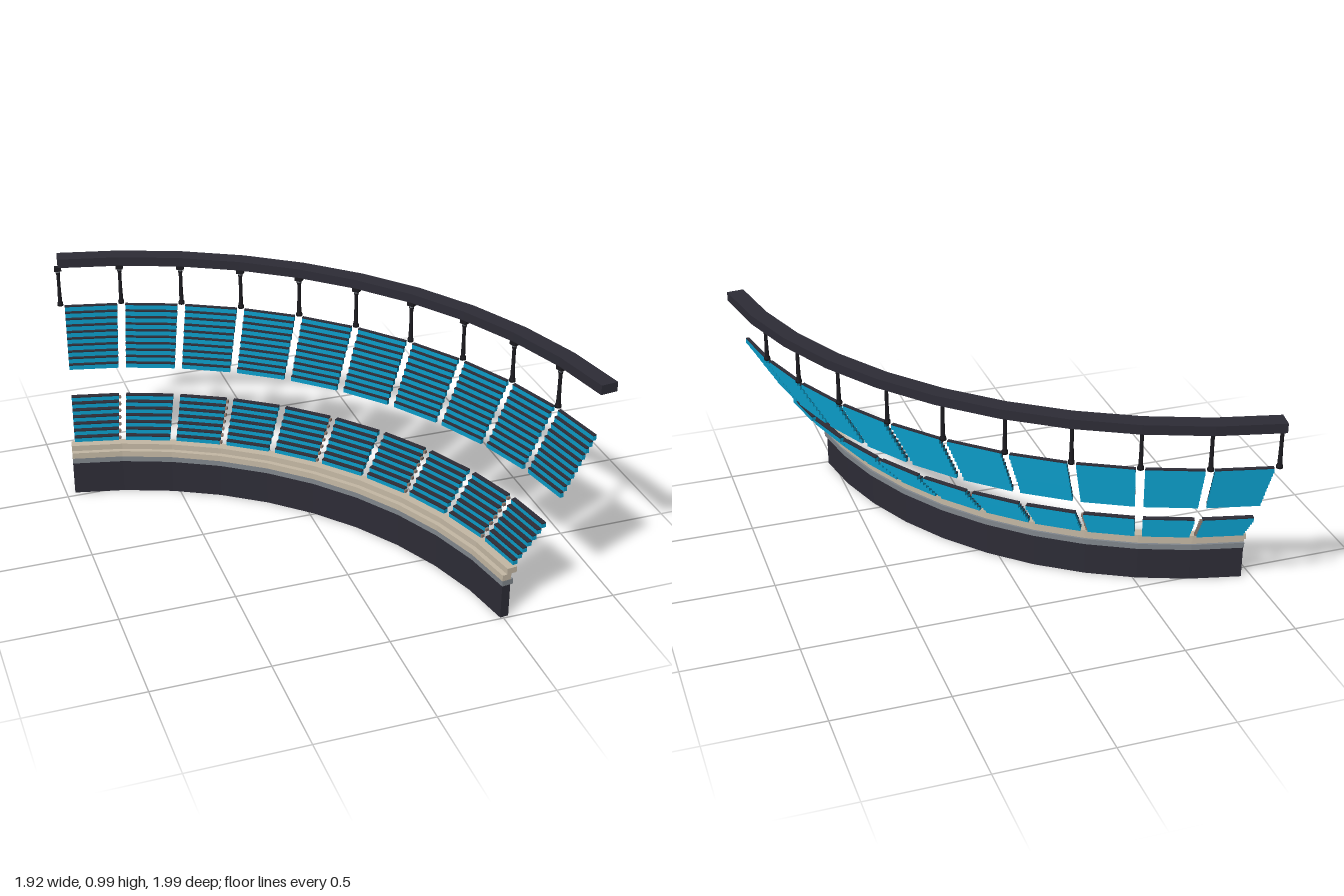
import * as THREE from 'three';

const CX = -1.25, CZ = 1.2;           // centre of the curve
const START = 9.5, END = 83.2;        // degrees, from the back (-z) towards +x
const BAYS = 10, BAY = (END - START) / BAYS;

const colour = (name, color) => {
  const m = new THREE.MeshStandardMaterial({ color });
  m.name = name;
  return m;
};

// point on the curve, drawn in plan with y as minus z
const plan = (r, deg) => {
  const a = THREE.MathUtils.degToRad(deg);
  return new THREE.Vector2(CX + r * Math.sin(a), r * Math.cos(a) - CZ);
};

// faceted ring sector between two angles, radii and heights
function sector(a0, a1, r0, r1, y0, y1, steps = 1) {
  const outer = [], inner = [];
  for (let i = 0; i <= steps; i++) {
    const a = a0 + ((a1 - a0) * i) / steps;
    outer.push(plan(r1, a));
    inner.unshift(plan(r0, a));
  }
  const g = new THREE.ExtrudeGeometry(new THREE.Shape([...outer, ...inner]), { depth: y1 - y0, bevelEnabled: false });
  return g.rotateX(-Math.PI / 2).translate(0, y0, 0);
}

export function createModel() {
  const dark = colour('charcoal', 0x2d2c36);
  const teal = colour('seat blue', 0x0b9cc8);
  const beige = colour('beige stone', 0xc4b8a4);
  const grey = colour('grey concrete', 0x80868c);
  const black = colour('black metal', 0x1c1b20);
  const brown = colour('brown step', 0x8a766c);

  const model = new THREE.Group();
  model.name = 'curvedGrandstand';
  const add = (parent, name, geometry, material) => {
    const mesh = new THREE.Mesh(geometry, material);
    mesh.name = name;
    parent.add(mesh);
    return mesh;
  };
  const ring = (name, material, r0, r1, y0, y1) =>
    add(model, name, sector(START, END, r0, r1, y0, y1, BAYS), material);

  // front wall, ledge and lowest terraces
  ring('frontWall', dark, 1.75, 1.788, 0, 0.155);
  ring('wallLedge', grey, 1.75, 1.8, 0.155, 0.18);
  ring('lowerTerrace', beige, 1.75, 1.79, 0.18, 0.208);
  ring('upperTerrace', beige, 1.771, 1.815, 0.208, 0.235);
  ring('roofRing', dark, 2.152, 2.228, 0.948, 0.99);

  // two tiers of stepped seating: blue risers under dark treads
  const tiers = [
    { name: 'lowerSeats', rows: 7, r: 1.805, depth: 0.021, y: 0.235, pitch: 0.0236 },
    { name: 'upperSeats', rows: 10, r: 2.01, depth: 0.0152, y: 0.5, pitch: 0.0257 },
  ];
  for (const t of tiers) {
    for (let b = 0; b < BAYS; b++) {
      const block = new THREE.Group();
      block.name = t.name;
      model.add(block);
      const a0 = START + b * BAY + 0.5, a1 = START + (b + 1) * BAY - 0.5;
      for (let i = 0; i < t.rows; i++) {
        const r = t.r + i * t.depth, y = t.y + i * t.pitch, top = y + t.pitch;
        add(block, 'seatRiser', sector(a0, a1, r, r + t.depth, y, top - 0.005), teal);
        add(block, 'seatTread', sector(a0, a1, r, r + t.depth, top - 0.005, top), dark);
        // narrow aisle steps beside every other lower block
        if (t.name === 'lowerSeats' && b % 2 === 0 && b < BAYS - 1)
          add(block, 'aisleStep', sector(a1, a1 + 0.3, r, r + t.depth * 0.7, y + 0.004, y + 0.016), brown);
      }
    }
  }

  // roof columns with turned bases and capitals
  const shaft = new THREE.LatheGeometry([
    [0, 0.757], [0.014, 0.757], [0.014, 0.768], [0.01, 0.776], [0.008, 0.85],
    [0.008, 0.91], [0.011, 0.92], [0.011, 0.926], [0, 0.926],
  ].map(([x, y]) => new THREE.Vector2(x, y)), 10);
  const collar = new THREE.CylinderGeometry(0.013, 0.011, 0.008, 10);
  const capital = new THREE.BoxGeometry(0.032, 0.018, 0.026);
  for (let i = 0; i < BAYS; i++) {
    const a = START + i * BAY, p = plan(2.163, a);
    const column = new THREE.Group();
    column.name = 'roofColumn';
    column.position.set(p.x, 0, -p.y);
    column.rotation.y = -THREE.MathUtils.degToRad(a);
    add(column, 'columnShaft', shaft, black);
    add(column, 'columnCollar', collar, grey).position.y = 0.928;
    add(column, 'columnCapital', capital, black).position.y = 0.94;
    model.add(column);
  }
  return model;
}
